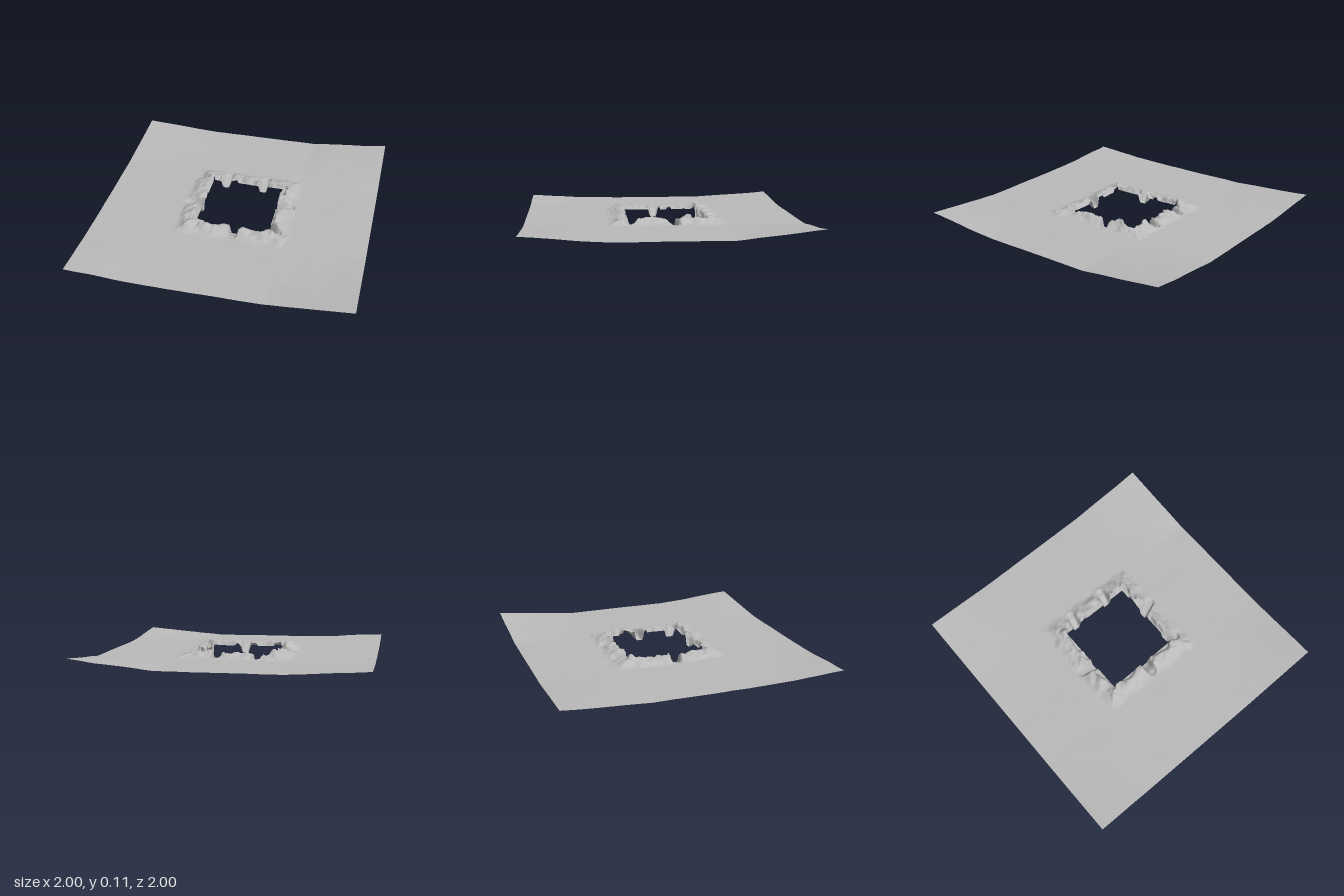
import * as THREE from 'three';

// Square opening in the middle of the terrain
const HOLE = { x0: -0.265, x1: 0.28, z0: -0.29, z1: 0.26 };

// Gullies cut through the rim: mouth x, z then inner end x, z
const GULLIES = [
  [-0.17, -0.28, -0.155, -0.375],
  [0.125, -0.28, 0.14, -0.375],
  [0.27, -0.04, 0.38, -0.08],
  [0.27, 0.2, 0.34, 0.25],
  [0.03, 0.25, 0.03, 0.345],
  [-0.255, 0.035, -0.37, 0.015],
];

// Small peaks on the rim: x, z, extra height
const PEAKS = [
  [-0.28, -0.3, 0.022], [0.17, -0.31, 0.024], [0.3, -0.18, 0.024],
  [0.31, 0.29, 0.014], [-0.29, 0.29, 0.014], [0, -0.31, 0.012],
];

// Height added at each corner: x sign, z sign, rise
const CORNERS = [[1, -1, 0.062], [1, 1, 0.052], [-1, -1, 0.034], [-1, 1, 0.032]];

const { smoothstep, lerp, clamp } = THREE.MathUtils;

function hash(i, j) {
  const s = Math.sin(i * 127.1 + j * 311.7) * 43758.5453;
  return s - Math.floor(s);
}

// Smooth value noise from -1 to 1
function noise(x, z) {
  const i = Math.floor(x), j = Math.floor(z);
  const u = smoothstep(x - i, 0, 1), v = smoothstep(z - j, 0, 1);
  const a = lerp(hash(i, j), hash(i + 1, j), u);
  const b = lerp(hash(i, j + 1), hash(i + 1, j + 1), u);
  return lerp(a, b, v) * 2 - 1;
}

function groundHeight(x, z) {
  let y = 0.047 + 0.002 * noise(x * 5, z * 5) + 0.0012 * noise(x * 11 + 7, z * 11);
  for (const [sx, sz, rise] of CORNERS) {
    const u = clamp((x * sx - 0.4) / 0.6, 0, 1), v = clamp((z * sz - 0.4) / 0.6, 0, 1);
    y += rise * Math.pow(u * v, 1.1);
  }
  return y;
}

function terrainHeight(x, z) {
  let y = groundHeight(x, z);
  const d = Math.max(HOLE.x0 - x, x - HOLE.x1, HOLE.z0 - z, z - HOLE.z1, 0);
  if (d > 0.22) return y;

  // Raised rocky rim
  const reach = d + 0.018 * noise(x * 16, z * 16);
  const bank = 1 - smoothstep(reach, 0.02, 0.15);
  y += bank * (0.036 + 0.013 * noise(x * 19 + 3, z * 19) + 0.008 * noise(x * 45, z * 45));
  for (const [px, pz, h] of PEAKS) {
    y += h * Math.exp(-((x - px) ** 2 + (z - pz) ** 2) / 0.0007);
  }

  // Broken inner cliff
  const cliff = 0.008 + 0.034 * noise(x * 22 + 11, z * 22 + 5);
  y = lerp(y, 0.05, 0.85 * (1 - smoothstep(d, cliff, cliff + 0.01)));

  // Steep-sided gullies
  for (const [ax, az, bx, bz] of GULLIES) {
    const dx = bx - ax, dz = bz - az;
    const t = clamp(((x - ax) * dx + (z - az) * dz) / (dx * dx + dz * dz), 0, 1);
    const r = Math.hypot(x - ax - dx * t, z - az - dz * t);
    const floor = 0.035 * smoothstep(t, 0.15, 1);
    y = lerp(floor, y, smoothstep(r, 0.022, 0.04));
  }
  return Math.max(y, 0);
}

// Grid lines along one axis, dense near the opening and exact on its edges
function gridLines(h0, h1) {
  const stops = [[-1, 16], [-0.45, 24], [h0, 64], [h1, 24], [0.45, 16]];
  const lines = [];
  stops.forEach(([from, n], s) => {
    const to = s < 4 ? stops[s + 1][0] : 1;
    for (let k = 0; k < n; k++) lines.push(lerp(from, to, k / n));
  });
  lines.push(1);
  return lines;
}

function terrainGeometry() {
  const xs = gridLines(HOLE.x0, HOLE.x1), zs = gridLines(HOLE.z0, HOLE.z1);
  const positions = [], index = [], w = xs.length;
  for (const z of zs) for (const x of xs) positions.push(x, terrainHeight(x, z), z);
  for (let j = 0; j < zs.length - 1; j++) {
    for (let i = 0; i < w - 1; i++) {
      const cx = (xs[i] + xs[i + 1]) / 2, cz = (zs[j] + zs[j + 1]) / 2;
      if (cx > HOLE.x0 && cx < HOLE.x1 && cz > HOLE.z0 && cz < HOLE.z1) continue;
      const a = j * w + i, b = a + 1, c = a + w, e = c + 1;
      index.push(a, c, b, b, c, e);
    }
  }
  const geometry = new THREE.BufferGeometry();
  geometry.setAttribute('position', new THREE.Float32BufferAttribute(positions, 3));
  geometry.setIndex(index);
  geometry.computeVertexNormals();
  return geometry;
}

export function createModel() {
  const stone = new THREE.MeshStandardMaterial({ color: 0xbababa, side: THREE.DoubleSide });
  stone.name = 'grey stone';
  const terrain = new THREE.Mesh(terrainGeometry(), stone);
  terrain.name = 'terrain';
  const model = new THREE.Group();
  model.name = 'terrain with square opening';
  model.add(terrain);
  return model;
}
